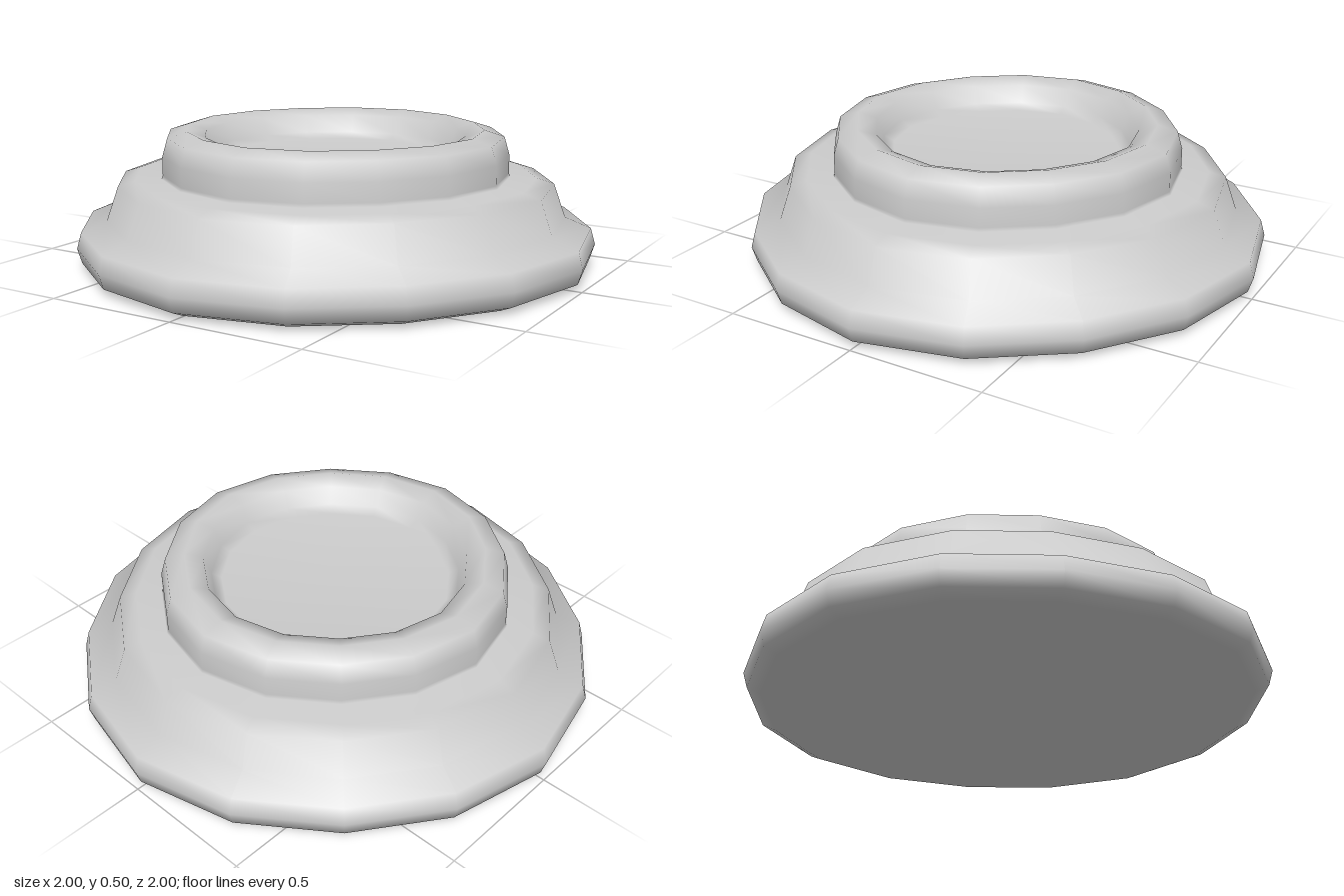
import * as THREE from 'three';
import { mergeVertices } from 'three/addons/utils/BufferGeometryUtils.js';

const SIDES = 16;

// Turned surface whose corners sit slightly inside the circle between the four axis points
function turned(profile) {
  const points = profile.map(([r, y]) => new THREE.Vector2(r, y));
  let geometry = new THREE.LatheGeometry(points, SIDES);
  const pos = geometry.attributes.position;
  for (let i = 0; i < pos.count; i++) {
    const angle = Math.atan2(pos.getX(i), pos.getZ(i));
    const k = 1 - 0.03 * Math.sin(2 * angle) ** 2;
    pos.setX(i, pos.getX(i) * k);
    pos.setZ(i, pos.getZ(i) * k);
  }
  // Weld the seam so the shading runs smoothly all the way round
  geometry.deleteAttribute('uv');
  geometry.deleteAttribute('normal');
  geometry = mergeVertices(geometry, 1e-4);
  geometry.computeVertexNormals();
  return geometry;
}

export function createModel() {
  const group = new THREE.Group();
  group.name = 'steppedRoundBase';
  const material = new THREE.MeshStandardMaterial({ color: 0xcccccc });

  const body = new THREE.Mesh(turned([
    // underside
    [0, 0], [0.86, 0], [0.935, 0.004],
    // rounded foot
    [0.983, 0.025], [1, 0.08], [0.983, 0.14],
    // middle step
    [0.885, 0.18], [0.84, 0.305], [0.775, 0.325], [0.675, 0.327],
    // upper ring
    [0.67, 0.34], [0.67, 0.41], [0.65, 0.477], [0.575, 0.5],
    // recessed dish
    [0.505, 0.477], [0.478, 0.41], [0.44, 0.388], [0, 0.38],
  ]), material);
  body.name = 'steppedBody';
  group.add(body);
  return group;
}
